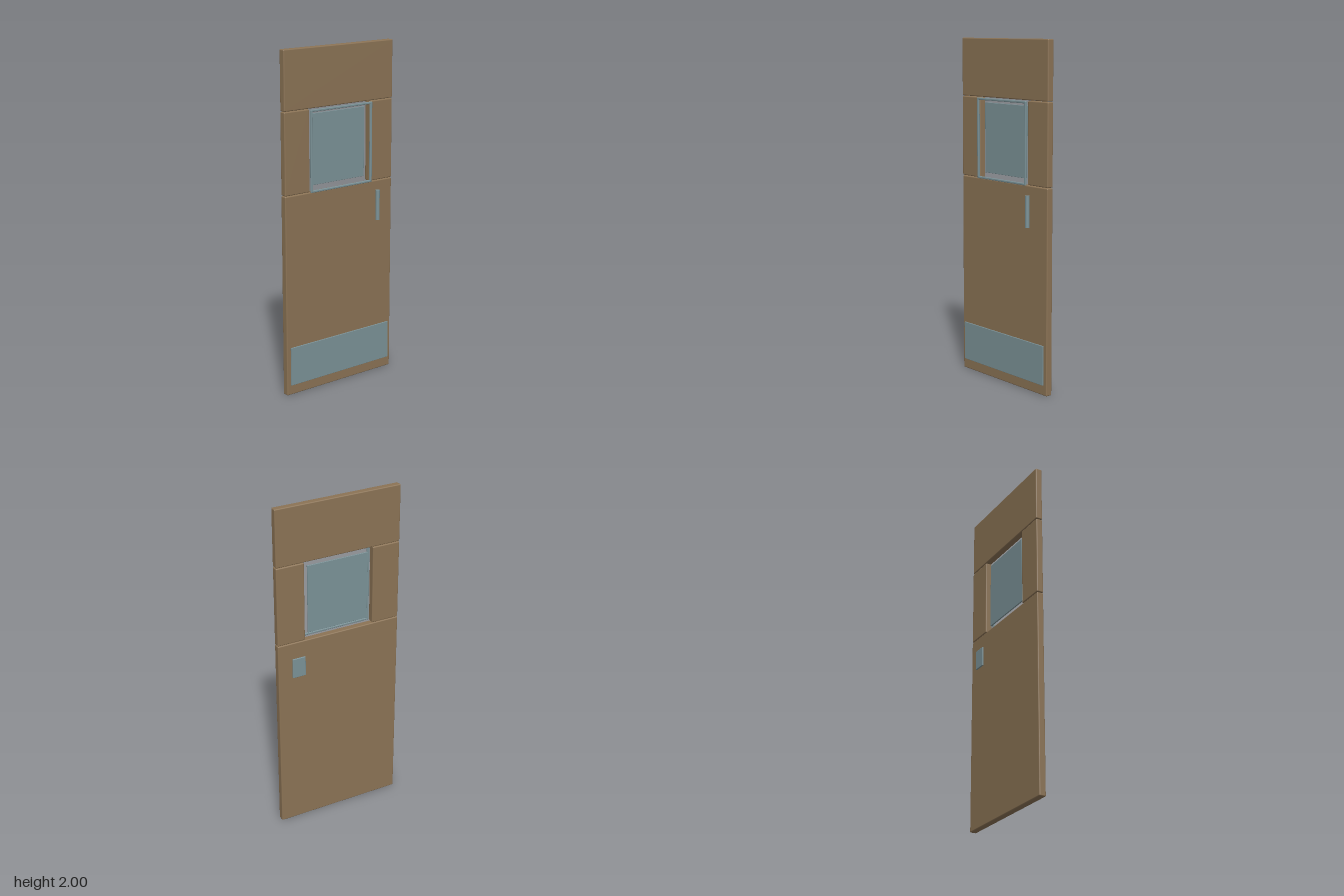
import * as THREE from 'three';
import { RoundedBoxGeometry } from 'three/addons/geometries/RoundedBoxGeometry.js';

export function createModel() {
  const door = new THREE.Group();
  door.name = 'door';

  const wood = new THREE.MeshStandardMaterial({ color: 0x8b7355 });
  wood.name = 'brownPanel';
  const metal = new THREE.MeshStandardMaterial({ color: 0x7b9297 });
  metal.name = 'blueGreyMetal';

  // Softly rounded slab given by its extents
  function slab(name, material, [x0, x1], [y0, y1], [z0, z1], radius) {
    const geometry = new RoundedBoxGeometry(x1 - x0, y1 - y0, z1 - z0, 3, radius);
    const mesh = new THREE.Mesh(geometry, material);
    mesh.name = name;
    mesh.position.set((x0 + x1) / 2, (y0 + y1) / 2, (z0 + z1) / 2);
    door.add(mesh);
    return mesh;
  }

  // Door leaf: lower panel, window stiles and top panel
  const leafZ = [-0.035, 0.005];
  slab('lowerPanel', wood, [-0.388, 0.388], [0, 1.185], leafZ, 0.006);
  slab('topPanel', wood, [-0.388, 0.388], [1.662, 2], leafZ, 0.006);
  slab('leftStile', wood, [0.217, 0.388], [1.188, 1.659], leafZ, 0.006);
  slab('rightStile', wood, [-0.388, -0.217], [1.188, 1.659], leafZ, 0.006);

  // Window pane, set in the middle of the leaf
  slab('windowPane', metal, [-0.19, 0.19], [1.22, 1.63], [-0.019, -0.011], 0.002);

  // Window frame standing just off the front face
  const frameZ = [0.013, 0.025];
  slab('frameLeft', metal, [0.207, 0.222], [1.186, 1.658], frameZ, 0.004);
  slab('frameRight', metal, [-0.222, -0.207], [1.186, 1.658], frameZ, 0.004);
  slab('frameTop', metal, [-0.215, 0.215], [1.645, 1.658], frameZ, 0.004);
  slab('frameBottom', metal, [-0.215, 0.215], [1.186, 1.199], frameZ, 0.004);

  // Kick plate on the front
  slab('kickPlate', metal, [-0.365, 0.365], [0.06, 0.29], [0.007, 0.015], 0.002);

  // Lock plate on the back
  slab('lockPlate', metal, [0.224, 0.306], [0.972, 1.092], [-0.053, -0.044], 0.003);

  // Round pull handle on the front
  const handle = new THREE.Mesh(new THREE.CylinderGeometry(0.0125, 0.0125, 0.18, 24), metal);
  handle.name = 'pullHandle';
  handle.position.set(0.255, 1.045, 0.038);
  door.add(handle);

  return door;
}
